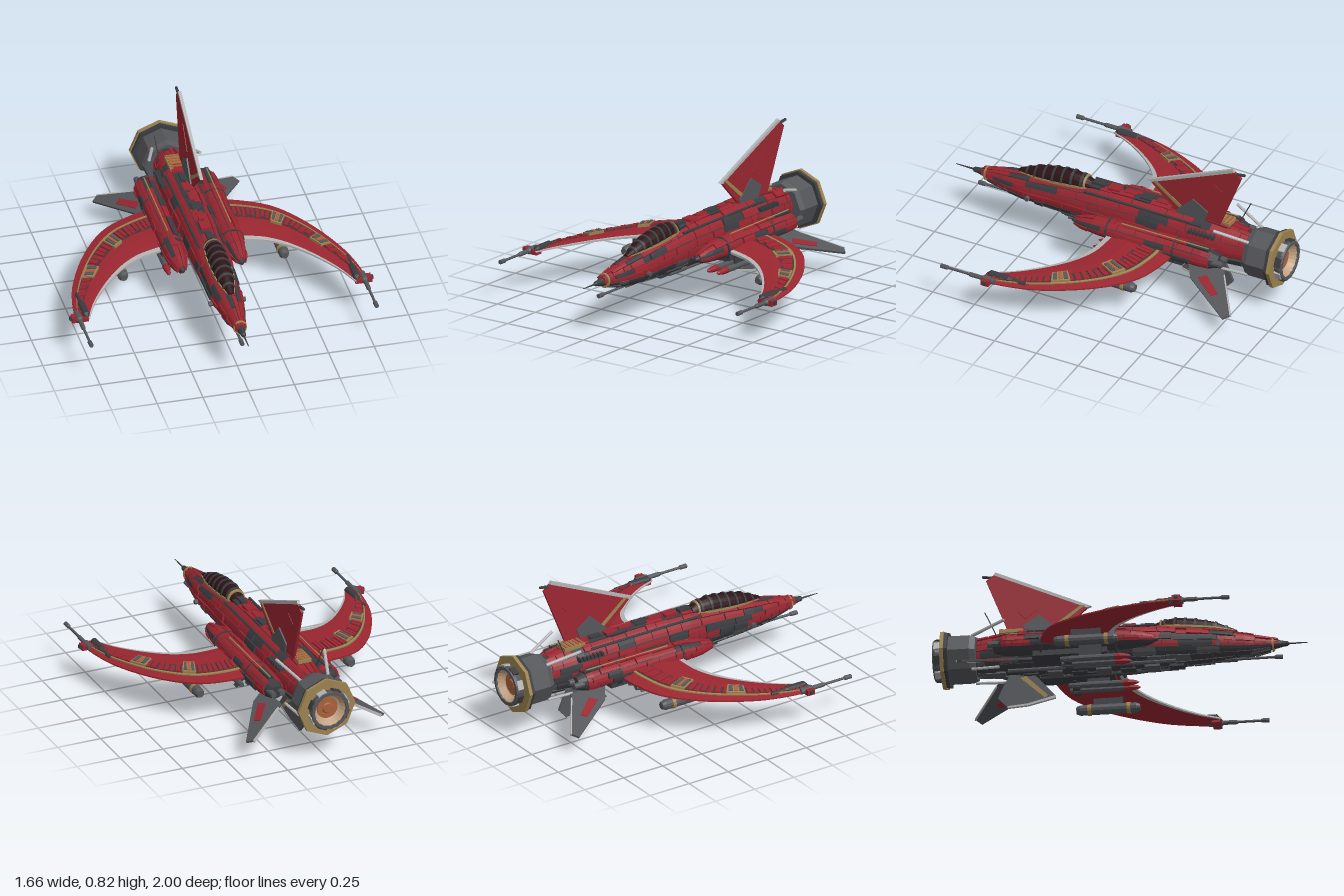
import * as THREE from 'three';
import { mergeGeometries } from 'three/addons/utils/BufferGeometryUtils.js';

const paint = (color) => new THREE.MeshStandardMaterial({ color, flatShading: true });
const RED = paint(0x9a2630), DARK = paint(0x3b3c40), GREY = paint(0x55565a), LIGHT = paint(0xb4b4b4);
const GOLD = paint(0x9c8350), ORANGE = paint(0xa8623c), GLASS = paint(0x2e1416), TAN = paint(0xc0a080);
const PI = Math.PI, V = (x, y, z) => new THREE.Vector3(x, y, z);

let seed = 7;
const rnd = () => (seed = (seed * 16807) % 2147483647) / 2147483647;

function add(group, name, geometry, material) {
  const mesh = new THREE.Mesh(geometry, material);
  mesh.name = name;
  group.add(mesh);
  return mesh;
}

// Bends a box onto a surface fn(u, v, height)
function warp(fn, [u0, u1], [v0, v1], [h0, h1], nu = 1, nv = 1) {
  const g = new THREE.BoxGeometry(1, 1, 1, nu, 1, nv).toNonIndexed();
  const p = g.attributes.position, pts = [];
  for (let i = 0; i < p.count; i++) {
    pts.push(fn(u0 + (u1 - u0) * (p.getX(i) + 0.5), v0 + (v1 - v0) * (p.getZ(i) + 0.5), p.getY(i) > 0 ? h1 : h0));
  }
  let volume = 0;
  for (let i = 0; i < pts.length; i += 3) volume += pts[i].dot(pts[i + 1].clone().cross(pts[i + 2]));
  if (volume < 0) for (let i = 0; i < pts.length; i += 3) [pts[i], pts[i + 1]] = [pts[i + 1], pts[i]];
  pts.forEach((q, i) => p.setXYZ(i, q.x, q.y, q.z));
  g.deleteAttribute('uv');
  g.computeVertexNormals();
  return g;
}

// Rounded body along z from rows of [z, half width, half height, centre y], rows running nose to tail
const body = (rows, cx = 0) => (a, z, h) => {
  let i = 0;
  while (i < rows.length - 2 && z < rows[i + 1][0]) i++;
  const [p, q] = [rows[i], rows[i + 1]];
  const t = THREE.MathUtils.clamp((z - p[0]) / (q[0] - p[0]), 0, 1);
  const [w, ht, cy] = [1, 2, 3].map((k) => p[k] + (q[k] - p[k]) * t);
  return V(cx + Math.cos(a) * Math.max(0, w + h), cy + Math.sin(a) * Math.max(0, ht + h), z);
};

// Covers a body with separate plates of varied length and height
function clad(group, name, fn, [zA, zB], [a0, a1], columns, [main, other], minLen = 0.05) {
  const sets = [[], []], step = (a1 - a0) / columns;
  for (let c = 0; c < columns; c++) {
    for (let z = zA; z > zB + 0.02;) {
      const end = Math.max(zB, z - minLen - rnd() * 0.09);
      const pad = step * (0.03 + rnd() * 0.07);
      sets[rnd() < 0.8 ? 0 : 1].push(
        warp(fn, [a0 + c * step + pad, a0 + (c + 1) * step - pad], [end + 0.005, z], [-0.01, 0.002 + rnd() * 0.011], 2, 2));
      z = end;
    }
  }
  [main, other].forEach((m, i) => sets[i].length && add(group, name + (i ? 'Accents' : ''), mergeGeometries(sets[i]), m));
}

// Turned part along z from [radius, z] pairs, rear to front
function turned(group, name, pairs, [x, y], material, sides = 10) {
  const g = new THREE.LatheGeometry(pairs.map(([r, z]) => new THREE.Vector2(r, z)), sides).rotateX(PI / 2);
  return add(group, name, g.translate(x, y, 0), material);
}

function rod(group, name, a, b, r, material) {
  const d = b.clone().sub(a), m = add(group, name, new THREE.CylinderGeometry(r, r, d.length(), 8), material);
  m.position.copy(a).addScaledVector(d, 0.5);
  m.quaternion.setFromUnitVectors(V(0, 1, 0), d.normalize());
}

function box(group, name, [w, h, d], [x, y, z], material) {
  add(group, name, new THREE.BoxGeometry(w, h, d), material).position.set(x, y, z);
}

// Flat plate drawn as (z, height) and stood up along a direction
function plate(group, name, pts, thick, origin, up, material) {
  const shape = new THREE.Shape(pts.map(([a, b]) => new THREE.Vector2(a, b)));
  const g = new THREE.ExtrudeGeometry(shape, { depth: thick, bevelEnabled: false }).translate(0, 0, -thick / 2);
  const A = V(0, 0, 1), m = new THREE.Matrix4().makeBasis(A, up, A.clone().cross(up)).setPosition(origin);
  add(group, name, g.applyMatrix4(m), material);
}

const curve = (pts) => new THREE.CatmullRomCurve3(pts.map(([x, z]) => V(x, 0, z)));
const trailing = curve([[0.14, -0.41], [0.29, -0.39], [0.46, -0.32], [0.61, -0.15], [0.74, 0.11], [0.785, 0.29], [0.8, 0.43]]);
const leading = curve([[0.14, -0.03], [0.25, -0.02], [0.35, 0.0], [0.45, 0.055], [0.56, 0.16], [0.67, 0.31], [0.73, 0.435]]);

// Crescent wing surface: s along the span, t from trailing to leading edge, h above or below the middle
function wingPoint(s, t, h) {
  const p = trailing.getPoint(s).lerp(leading.getPoint(s), t), k = (p.x - 0.2) / 0.6;
  const half = (0.023 - 0.013 * s) * (0.25 + 3 * Math.max(0, t * (1 - t)));
  p.y = 0.275 - 0.06 * k - 0.012 * k * k + Math.sign(h) * half + (h - Math.sign(h));
  return p;
}

function buildWing(g) {
  add(g, 'wing', warp(wingPoint, [0, 1], [0, 1], [-1, 1], 28, 6), RED);
  add(g, 'wingLeadingEdge', warp(wingPoint, [0.04, 1], [0.95, 1.03], [-1.001, 1.001], 28, 1), LIGHT);
  add(g, 'wingRibBed', warp(wingPoint, [0.1, 0.97], [0.22, 0.5], [0.995, 1.002], 28, 1), DARK);
  add(g, 'wingGoldStrip', warp(wingPoint, [0.1, 0.97], [0.18, 0.22], [0.995, 1.006], 28, 1), GOLD);
  const ribs = [];
  for (let i = 0; i < 30; i++) {
    const s = 0.11 + i * 0.028;
    ribs.push(warp(wingPoint, [s, s + 0.02], [0.25, 0.45 + 0.03 * (i % 3)], [0.995, 1.007 + 0.003 * (i % 2)]));
  }
  add(g, 'wingRibs', mergeGeometries(ribs), RED);
  for (const s of [0.34, 0.57]) {
    add(g, 'wingPanel', warp(wingPoint, [s, s + 0.065], [0.23, 0.55], [0.995, 1.014]), GOLD);
    [GREY, ORANGE, GREY].forEach((m, i) =>
      add(g, 'wingPanelInset', warp(wingPoint, [s + 0.006 + i * 0.019, s + 0.021 + i * 0.019], [0.27, 0.51], [1, 1.018]), m));
  }
  // Wing-tip cannon
  turned(g, 'tipCannon', [[0, 0.36], [0.018, 0.36], [0.02, 0.43], [0.012, 0.44], [0.012, 0.51], [0.007, 0.52], [0.007, 0.64],
    [0.012, 0.645], [0.012, 0.685], [0, 0.685]], [0.78, 0.21], GREY);
  turned(g, 'tipMotor', [[0, 0.2], [0.01, 0.2], [0.012, 0.28], [0.02, 0.3], [0.02, 0.41], [0, 0.43]], [0.74, 0.222], DARK);
  box(g, 'tipBlock', [0.09, 0.03, 0.045], [0.775, 0.207, 0.405], RED);
  box(g, 'tipKnob', [0.03, 0.018, 0.02], [0.815, 0.21, 0.405], DARK);
  // Underwing pod and pylon
  turned(g, 'underwingPod', [[0, -0.3], [0.02, -0.3], [0.028, -0.28], [0.028, 0.02], [0.018, 0.04], [0, 0.04]], [0.44, 0.17], GREY, 12);
  for (const z of [-0.24, -0.03]) turned(g, 'podBand', [[0.027, z], [0.031, z], [0.031, z + 0.02], [0.027, z + 0.02]], [0.44, 0.17], GOLD, 12);
  box(g, 'podPylon', [0.015, 0.06, 0.16], [0.44, 0.215, -0.13], DARK);
}

function buildNacelle(g) {
  const fn = body([[0.22, 0.008, 0.008, 0.28], [0.18, 0.032, 0.03, 0.28], [0.08, 0.05, 0.048, 0.285], [-0.05, 0.056, 0.055, 0.288],
    [-0.6, 0.058, 0.056, 0.288], [-0.66, 0.035, 0.035, 0.288]], 0.162);
  add(g, 'nacelleCore', warp(fn, [0, 2 * PI], [-0.66, 0.22], [-1, 0], 14, 16), DARK);
  clad(g, 'nacellePlates', fn, [0.2, -0.62], [-0.5, PI + 0.3], 7, [RED, DARK], 0.08);
  for (const z of [0.0, -0.4]) add(g, 'nacelleBand', warp(fn, [0, 2 * PI], [z - 0.01, z], [-0.01, 0.013], 14), DARK);
  for (const x of [0.14, 0.19]) turned(g, 'nacelleExhaust', [[0, -0.69], [0.016, -0.69], [0.02, -0.6], [0, -0.6]], [x, 0.29], GREY);
  rod(g, 'nacelleGoldPipe', V(0.172, 0.355, -0.6), V(0.172, 0.352, -0.08), 0.004, GOLD);
  // Missiles below the nacelle
  for (const x of [0.135, 0.2]) {
    turned(g, 'missileBody', [[0, -0.3], [0.013, -0.3], [0.017, -0.27], [0.017, 0]], [x, 0.175], GREY);
    turned(g, 'missileTip', [[0.018, -0.01], [0.018, 0.02], [0.011, 0.06], [0, 0.08]], [x, 0.175], RED);
    box(g, 'missilePylon', [0.01, 0.07, 0.12], [x, 0.215, -0.14], DARK);
    for (const a of [PI / 4, -PI / 4]) {
      add(g, 'missileFins', new THREE.BoxGeometry(0.06, 0.003, 0.04).rotateZ(a).translate(x, 0.175, -0.26), DARK);
    }
  }
}

function buildTailFin(g) {
  const o = V(0.14, 0.22, 0), up = V(0.915, -0.4, 0);
  plate(g, 'tailFin', [[-0.46, 0], [-0.52, 0.1], [-0.8, 0.285], [-0.83, 0.25], [-0.69, 0.03], [-0.68, 0]], 0.012, o, up, GREY);
  plate(g, 'tailFinEdge', [[-0.83, 0.255], [-0.69, 0.035], [-0.69, 0.022], [-0.836, 0.25]], 0.014, o, up, LIGHT);
  plate(g, 'tailFinPanel', [[-0.56, 0.09], [-0.68, 0.175], [-0.71, 0.15], [-0.6, 0.06]], 0.018, o, up, RED);
}

function buildFins(g) {
  const o = V(0.016, 0, 0), up = V(0.035, 1, 0);
  plate(g, 'dorsalFin', [[-0.18, 0.585], [-0.36, 0.41], [-0.59, 0.41], [-0.73, 0.77], [-0.68, 0.81]], 0.014, o, up, RED);
  plate(g, 'dorsalFinEdge', [[-0.165, 0.585], [-0.19, 0.578], [-0.69, 0.802], [-0.68, 0.818]], 0.017, o, up, LIGHT);
  plate(g, 'dorsalFinStripe', [[-0.2, 0.59], [-0.22, 0.595], [-0.37, 0.48], [-0.36, 0.46]], 0.02, o, up, GOLD);
  plate(g, 'dorsalFinRoot', [[-0.34, 0.42], [-0.34, 0.45], [-0.44, 0.55], [-0.53, 0.49], [-0.5, 0.41]], 0.03, o, up, GREY);
  plate(g, 'dorsalFinPanel', [[-0.45, 0.58], [-0.56, 0.69], [-0.62, 0.65], [-0.52, 0.53]], 0.02, o, up, RED);
  rod(g, 'dorsalFinTip', V(0.043, 0.79, -0.7), V(0.043, 0.797, -0.75), 0.008, DARK);
  plate(g, 'ventralFin', [[-0.35, 0.055], [-0.5, 0.015], [-0.61, 0.005], [-0.66, 0.06], [-0.63, 0.13], [-0.58, 0.22], [-0.49, 0.22]],
    0.013, V(0, 0, 0), V(0, 1, 0), GREY);
  plate(g, 'ventralFinStripe', [[-0.39, 0.06], [-0.41, 0.05], [-0.54, 0.17], [-0.51, 0.18]], 0.018, V(0, 0, 0), V(0, 1, 0), GOLD);
  plate(g, 'ventralFinEdge', [[-0.35, 0.06], [-0.35, 0.045], [-0.5, 0.008], [-0.61, 0], [-0.61, 0.01], [-0.5, 0.02]],
    0.016, V(0, 0, 0), V(0, 1, 0), LIGHT);
}

function buildEngine(g) {
  const c = [0, 0.3];
  turned(g, 'engineHousing', [[0, -0.93], [0.137, -0.93], [0.137, -0.8], [0.125, -0.77], [0, -0.77]], c, GREY, 8);
  turned(g, 'engineFlange', [[0.1, -0.955], [0.165, -0.955], [0.165, -0.935], [0.1, -0.935]], c, GOLD, 8);
  turned(g, 'engineFlangeFront', [[0.1, -0.935], [0.158, -0.935], [0.158, -0.915], [0.1, -0.915]], c, DARK, 8);
  turned(g, 'nozzle', [[0.088, -0.96], [0.092, -1], [0.108, -1], [0.113, -0.985], [0.105, -0.955], [0.088, -0.955]], c, GREY, 16);
  turned(g, 'nozzleLining', [[0.05, -0.945], [0.07, -0.958], [0.095, -0.998]], c, TAN, 24).material = TAN.clone();
  g.getObjectByName('nozzleLining').material.side = THREE.DoubleSide;
  turned(g, 'nozzleCore', [[0, -0.965], [0.025, -0.965], [0.03, -0.958], [0.06, -0.958], [0.06, -0.95], [0, -0.95]], c, ORANGE, 24);
  for (let i = 0; i < 8; i++) {
    const a = (i + 0.5) * PI / 4;
    const block = new THREE.BoxGeometry(0.05, 0.016, 0.035).translate(0, 0.106, -0.975).rotateZ(a).translate(0, 0.3, 0);
    add(g, 'nozzleBlock', block, i % 2 ? LIGHT : DARK);
  }
  // Struts around the engine mount
  for (const s of [1, -1]) {
    rod(g, 'upperStrut', V(s * 0.14, 0.455, -0.61), V(s * 0.08, 0.4, -0.79), 0.009, LIGHT);
    rod(g, 'lowerStrut', V(s * 0.1, 0.2, -0.64), V(s * 0.09, 0.2, -0.79), 0.008, LIGHT);
  }
  rod(g, 'antenna', V(-0.07, 0.4, -0.66), V(-0.084, 0.53, -0.72), 0.003, DARK);
}

function buildFuselage(g) {
  const hull = body([[0.88, 0.012, 0.014, 0.285], [0.8, 0.028, 0.032, 0.285], [0.72, 0.042, 0.052, 0.285], [0.7, 0.05, 0.058, 0.285],
    [0.55, 0.074, 0.08, 0.29], [0.35, 0.083, 0.1, 0.3], [0.15, 0.095, 0.115, 0.31], [-0.1, 0.098, 0.12, 0.313],
    [-0.55, 0.105, 0.12, 0.312], [-0.68, 0.085, 0.11, 0.305], [-0.79, 0.065, 0.1, 0.3]]);
  add(g, 'hullCore', warp(hull, [0, 2 * PI], [-0.79, 0.88], [-1, 0], 18, 34), DARK);
  clad(g, 'upperPlates', hull, [0.84, -0.77], [-0.35, PI + 0.35], 10, [RED, DARK]);
  clad(g, 'bellyPlates', hull, [0.8, -0.77], [PI + 0.35, 2 * PI - 0.35], 6, [DARK, GREY]);
  add(g, 'noseRing', warp(hull, [0, 2 * PI], [0.81, 0.82], [-0.01, 0.012], 18), GOLD);
  turned(g, 'noseSpike', [[0.016, 0.86], [0.014, 0.89], [0.005, 0.9], [0.002, 1], [0, 1]], [0, 0.285], DARK);
  turned(g, 'chinGun', [[0, 0.45], [0.014, 0.45], [0.014, 0.62], [0.007, 0.63], [0.007, 0.82], [0.012, 0.825], [0.012, 0.865], [0, 0.865]],
    [0, 0.21], GREY);
  // Ribbed canopy
  const canopy = body([[0.62, 0.015, 0.01, 0.37], [0.5, 0.046, 0.05, 0.383], [0.4, 0.053, 0.066, 0.39], [0.3, 0.053, 0.069, 0.4],
    [0.23, 0.046, 0.055, 0.405], [0.18, 0.036, 0.03, 0.41]]);
  add(g, 'canopyGlass', warp(canopy, [0, PI], [0.18, 0.62], [-1, 0], 10, 14), GLASS);
  for (const a of [-0.05, PI - 0.12]) add(g, 'canopyRail', warp(canopy, [a, a + 0.17], [0.2, 0.61], [-0.01, 0.006], 1, 12), GOLD);
  for (let z = 0.23; z < 0.58; z += 0.055) add(g, 'canopyRib', warp(canopy, [0, PI], [z, z + 0.012], [-0.01, 0.005], 10), DARK);
  add(g, 'canopyBow', warp(canopy, [0, PI], [0.21, 0.22], [-0.01, 0.008], 10), GOLD);
  // Spine blocks, vents and pipes
  for (let i = 0; i < 8; i++) box(g, 'spineBlock', [0.035 + 0.02 * (i % 2), 0.02, 0.07], [0, 0.434, 0.14 - i * 0.095], i % 3 ? RED : DARK);
  box(g, 'spineVent', [0.075, 0.02, 0.13], [-0.01, 0.432, -0.585], GOLD);
  for (let i = 0; i < 5; i++) box(g, 'spineVentSlat', [0.065, 0.008, 0.012], [-0.01, 0.443, -0.535 - i * 0.025], ORANGE);
  for (const s of [1, -1]) {
    for (let i = 0; i < 7; i++) box(g, 'sideVentSlat', [0.04, 0.02, 0.014], [s * 0.095, 0.38, -0.45 - i * 0.023], DARK);
    rod(g, 'spinePipe', V(s * 0.07, 0.407, 0.2), V(s * 0.075, 0.41, -0.5), 0.007, DARK);
    rod(g, 'bellyPipe', V(s * 0.05, 0.2, 0.3), V(s * 0.05, 0.195, -0.6), 0.011, GREY);
    rod(g, 'noseThruster', V(s * 0.06, 0.27, 0.53), V(s * 0.1, 0.265, 0.53), 0.014, GREY);
    box(g, 'wingRoot', [0.12, 0.05, 0.4], [s * 0.13, 0.235, -0.25], DARK);
  }
  for (let i = 0; i < 7; i++) box(g, 'bellyBlock', [0.05 + 0.03 * (i % 2), 0.025, 0.08], [0, 0.193, 0.3 - i * 0.13], i % 2 ? GREY : DARK);
}

export function createModel() {
  const model = new THREE.Group();
  model.name = 'starfighter';
  const part = (name, build, side = 1) => {
    const g = new THREE.Group();
    g.name = name;
    build(g);
    g.scale.x = side;
    model.add(g);
  };
  part('fuselage', buildFuselage);
  part('engine', buildEngine);
  part('centreFins', buildFins);
  for (const [label, side] of [['left', 1], ['right', -1]]) {
    part(label + 'Wing', buildWing, side);
    part(label + 'Nacelle', buildNacelle, side);
    part(label + 'TailFin', buildTailFin, side);
  }
  return model;
}
